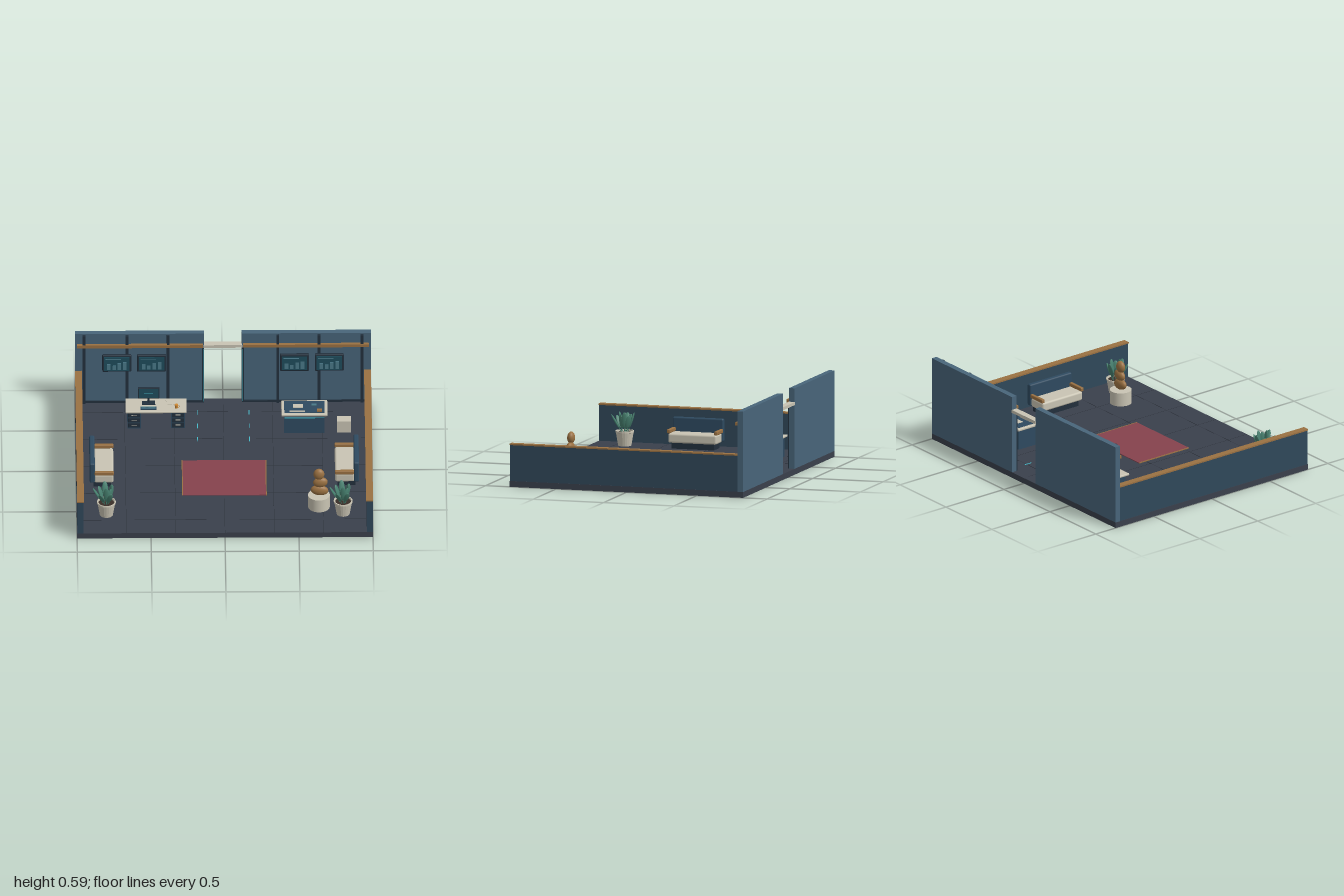
import * as THREE from 'three';
import { RoundedBoxGeometry } from 'three/addons/geometries/RoundedBoxGeometry.js';

const mat = (color, extra = {}) => new THREE.MeshStandardMaterial({ color, ...extra });
const M = {
  floor: mat(0x3a404c), seam: mat(0x2a3039), wall: mat(0x48657a), side: mat(0x30485a),
  dark: mat(0x22303d), navy: mat(0x2e4a60), wood: mat(0x9a7142), cream: mat(0xc9c4b3),
  rug: mat(0x85424d), cyan: mat(0x45bccb), screen: mat(0x1f4d5c), bar: mat(0x4a7a8a),
  leaf: mat(0x47806f), orange: mat(0xd08a35), soil: mat(0x3a2f28),
};

function add(parent, name, geometry, material, x = 0, y = 0, z = 0) {
  const mesh = new THREE.Mesh(geometry, material);
  mesh.name = name;
  mesh.position.set(x, y, z);
  parent.add(mesh);
  return mesh;
}

// Box given by its limits on each axis; r rounds the edges
function box(parent, name, material, x0, x1, y0, y1, z0, z1, r = 0) {
  const s = [x1 - x0, y1 - y0, z1 - z0];
  const g = r ? new RoundedBoxGeometry(...s, 2, r) : new THREE.BoxGeometry(...s);
  return add(parent, name, g, material, (x0 + x1) / 2, (y0 + y1) / 2, (z0 + z1) / 2);
}

function group(parent, name, x = 0, y = 0, z = 0) {
  const g = new THREE.Group();
  g.name = name;
  g.position.set(x, y, z);
  parent.add(g);
  return g;
}

// Floor slab with tile seams, rug and guide lights
function buildFloor(root) {
  const g = group(root, 'floor');
  box(g, 'floorSlab', M.floor, -1, 1, 0, 0.04, -0.83, 0.83);
  for (let i = -2; i <= 2; i++) {
    const p = i / 3;
    box(g, 'seamAcross', M.seam, -0.955, 0.955, 0.04, 0.0408, p - 0.0015, p + 0.0015);
    box(g, 'seamAlong', M.seam, p - 0.0015, p + 0.0015, 0.04, 0.0408, -0.79, 0.83);
  }
  box(g, 'rug', M.rug, -0.28, 0.28, 0.04, 0.045, -0.06, 0.37);
  for (const s of [-1, 1]) {
    box(g, 'rugEdge', M.wood, s * 0.283 - 0.003, s * 0.283 + 0.003, 0.04, 0.046, -0.06, 0.37);
    for (const z of [-0.655, -0.49, -0.325])
      box(g, 'guideLight', M.cyan, s * 0.175 - 0.003, s * 0.175 + 0.003, 0.04, 0.043, z - 0.027, z + 0.027);
  }
}

// Wall display: framed screen with a small bar chart
function buildDisplay(root, x) {
  const g = group(root, 'wallDisplay', x, 0.37, -0.772);
  box(g, 'displayFrame', M.dark, -0.098, 0.098, -0.066, 0.066, -0.01, 0.014, 0.006);
  box(g, 'displayScreen', M.screen, -0.086, 0.086, -0.054, 0.054, 0.01, 0.017);
  [0.045, 0.032, 0.052, 0.06].forEach((h, i) => {
    const bx = -0.054 + i * 0.036;
    box(g, 'chartBar', M.bar, bx - 0.012, bx + 0.012, -0.045, -0.045 + h, 0.016, 0.019);
  });
  box(g, 'chartTitle', M.bar, -0.075, 0.03, 0.036, 0.041, 0.016, 0.019);
}

function buildWalls(root) {
  const g = group(root, 'walls');
  for (const s of [-1, 1]) {
    // lo/hi order is kept for both sides
    const span = (name, m, a, b, y0, y1, z0, z1) =>
      box(g, name, m, Math.min(s * a, s * b), Math.max(s * a, s * b), y0, y1, z0, z1);
    span('backWall', M.wall, 0.127, 1, 0.04, 0.59, -0.83, -0.79);
    span('sideWall', M.side, 0.958, 0.998, 0.04, 0.287, -0.828, 0.828);
    span('sideWallCap', M.wood, 0.953, 1, 0.285, 0.295, -0.79, 0.83);
    span('skirting', M.dark, 0.14, 0.955, 0.04, 0.055, -0.79, -0.782);
    span('woodRail', M.wood, 0.135, 0.985, 0.489, 0.511, -0.79, -0.768);
    span('doorJamb', M.dark, 0.127, 0.143, 0.04, 0.475, -0.79, -0.783);
    span('doorLight', M.cyan, 0.131, 0.136, 0.05, 0.47, -0.784, -0.78);
    for (const x of [0.37, 0.65, 0.94])
      span('wallPost', M.dark, x - 0.01, x + 0.01, 0.04, 0.582, -0.79, -0.772);
    for (const x of [0.483, 0.718]) buildDisplay(g, s * x);
  }
  box(g, 'doorLintel', M.cream, -0.132, 0.132, 0.476, 0.497, -0.832, -0.788);
}

// Work desk with two drawer pedestals, monitor, keyboard, paper and mug
function buildDesk(root) {
  const g = group(root, 'desk', -0.455, 0, -0.525);
  box(g, 'deskTop', M.cream, -0.207, 0.207, 0.174, 0.19, -0.084, 0.084, 0.006);
  for (const s of [-1, 1]) {
    const x = s * 0.148;
    box(g, 'drawerUnit', M.navy, x - 0.046, x + 0.046, 0.04, 0.174, -0.065, 0.06);
    for (let i = 0; i < 3; i++) {
      const y = 0.05 + i * 0.04;
      box(g, 'drawerFront', M.dark, x - 0.04, x + 0.04, y, y + 0.033, 0.058, 0.065);
      box(g, 'drawerHandle', M.cream, x - 0.018, x + 0.018, y + 0.018, y + 0.022, 0.064, 0.069);
    }
  }
  const m = group(g, 'monitor', -0.05, 0.19, -0.02);
  box(m, 'monitorFoot', M.dark, -0.045, 0.045, 0, 0.006, -0.022, 0.022);
  box(m, 'monitorStem', M.dark, -0.006, 0.006, 0, 0.06, -0.01, 0);
  box(m, 'monitorCase', M.dark, -0.073, 0.073, 0.043, 0.128, -0.01, 0.008, 0.004);
  box(m, 'monitorScreen', M.screen, -0.066, 0.066, 0.05, 0.121, 0.006, 0.01);
  box(m, 'screenLine', M.cyan, -0.03, 0.03, 0.083, 0.087, 0.009, 0.011);
  box(g, 'keyboard', M.navy, -0.105, 0.002, 0.19, 0.197, 0.03, 0.062);
  for (let i = 0; i < 3; i++)
    box(g, 'keyRow', M.bar, -0.1, -0.003, 0.196, 0.199, 0.034 + i * 0.009, 0.04 + i * 0.009);
  box(g, 'paper', M.cream, 0.07, 0.134, 0.19, 0.193, -0.07, 0).rotation.y = 0.15;
  buildMug(g, 0.138, 0.19, 0.038);
}

function buildMug(parent, x, y, z) {
  add(parent, 'mug', new THREE.CylinderGeometry(0.012, 0.01, 0.026, 16), M.orange, x, y + 0.013, z);
  add(parent, 'mugHandle', new THREE.TorusGeometry(0.008, 0.002, 6, 12), M.orange, x + 0.012, y + 0.013, z);
}

// Display table with a framed inset top and a few objects on it
function buildDisplayTable(root) {
  const g = group(root, 'displayTable', 0.547, 0, -0.475);
  box(g, 'tableCabinet', M.navy, -0.137, 0.137, 0.04, 0.18, -0.075, 0.075);
  box(g, 'cabinetLight', M.cyan, -0.135, 0.135, 0.16, 0.164, 0.074, 0.079);
  box(g, 'tableTop', M.cream, -0.156, 0.156, 0.18, 0.198, -0.09, 0.09, 0.006);
  box(g, 'tableInset', M.navy, -0.136, 0.136, 0.195, 0.2, -0.072, 0.072);
  box(g, 'paper', M.cream, -0.075, -0.01, 0.199, 0.204, -0.032, 0.012);
  box(g, 'ruler', M.cream, -0.1, 0.005, 0.199, 0.203, 0.05, 0.06);
  box(g, 'sampleBlock', M.bar, 0.05, 0.082, 0.199, 0.208, -0.03, -0.01);
  box(g, 'woodBlock', M.wood, 0.085, 0.12, 0.199, 0.212, 0.04, 0.062);
  box(root, 'sideStool', M.cream, 0.766, 0.862, 0.04, 0.13, -0.47, -0.4);
}

// Bench against a side wall; side -1 is the right wall, 1 the left
function buildBench(root, side) {
  const g = group(root, 'bench', side * 0.825, 0, 0.1);
  if (side > 0) g.rotation.y = Math.PI;
  box(g, 'benchBase', M.dark, -0.06, 0.06, 0.04, 0.085, -0.15, 0.15);
  box(g, 'benchSeat', M.cream, -0.055, 0.077, 0.08, 0.145, -0.172, 0.172, 0.014);
  box(g, 'benchBack', M.navy, -0.085, -0.05, 0.085, 0.24, -0.18, 0.18, 0.01);
  for (const s of [-1, 1])
    box(g, 'benchArm', M.wood, -0.052, 0.078, 0.145, 0.172, s * 0.168 - 0.012, s * 0.168 + 0.012, 0.006);
}

// Potted plant with rings of broad upright leaves
function buildPlant(root, x) {
  const g = group(root, 'plant', x, 0.04, 0.595);
  const profile = [[0, 0], [0.045, 0], [0.06, 0.09], [0.064, 0.092], [0.064, 0.103], [0.056, 0.103], [0.054, 0.09]]
    .map(p => new THREE.Vector2(...p));
  add(g, 'pot', new THREE.LatheGeometry(profile, 20), mat(0xc9c4b3, { side: THREE.DoubleSide, flatShading: true }));
  add(g, 'soil', new THREE.CylinderGeometry(0.054, 0.054, 0.004, 20), M.soil, 0, 0.09, 0);
  const leaf = new THREE.SphereGeometry(1, 10, 8);
  leaf.translate(0, 1, 0);
  for (let i = 0; i < 9; i++) {
    const a = i * 2.4, tilt = 0.12 + (i % 3) * 0.2;
    const pivot = group(g, 'leafStem', Math.sin(a) * 0.02, 0.09, Math.cos(a) * 0.02);
    pivot.rotation.set(tilt, a, 0, 'YXZ');
    const stem = add(pivot, 'stem', new THREE.CylinderGeometry(0.003, 0.003, 0.05, 6), M.leaf, 0, 0.025, 0);
    stem.castShadow = false;
    add(pivot, 'leaf', leaf, M.leaf, 0, 0.03, 0).scale.set(0.021, 0.057 - (i % 2) * 0.008, 0.008);
  }
}

// Round plinth carrying three stacked flattened stones
function buildSculpture(root) {
  const g = group(root, 'sculpture', 0.637, 0, 0.51);
  add(g, 'plinth', new THREE.CylinderGeometry(0.074, 0.074, 0.095, 32), M.cream, 0, 0.0875, 0);
  const ball = new THREE.SphereGeometry(1, 24, 16);
  [[0.004, 0.172, 0.06, 0.038, -0.12], [0.01, 0.235, 0.05, 0.037, 0.15], [0, 0.3, 0.037, 0.041, -0.05]]
    .forEach(([x, y, rx, ry, tilt]) => {
      const stone = add(g, 'carvedStone', ball, M.wood, x, y, 0);
      stone.scale.set(rx, ry, 0.026);
      stone.rotation.z = tilt;
    });
}

export function createModel() {
  const root = new THREE.Group();
  root.name = 'officeRoom';
  buildFloor(root);
  buildWalls(root);
  buildDesk(root);
  buildDisplayTable(root);
  for (const s of [-1, 1]) {
    buildBench(root, s);
    buildPlant(root, s * 0.8);
  }
  buildSculpture(root);
  return root;
}
